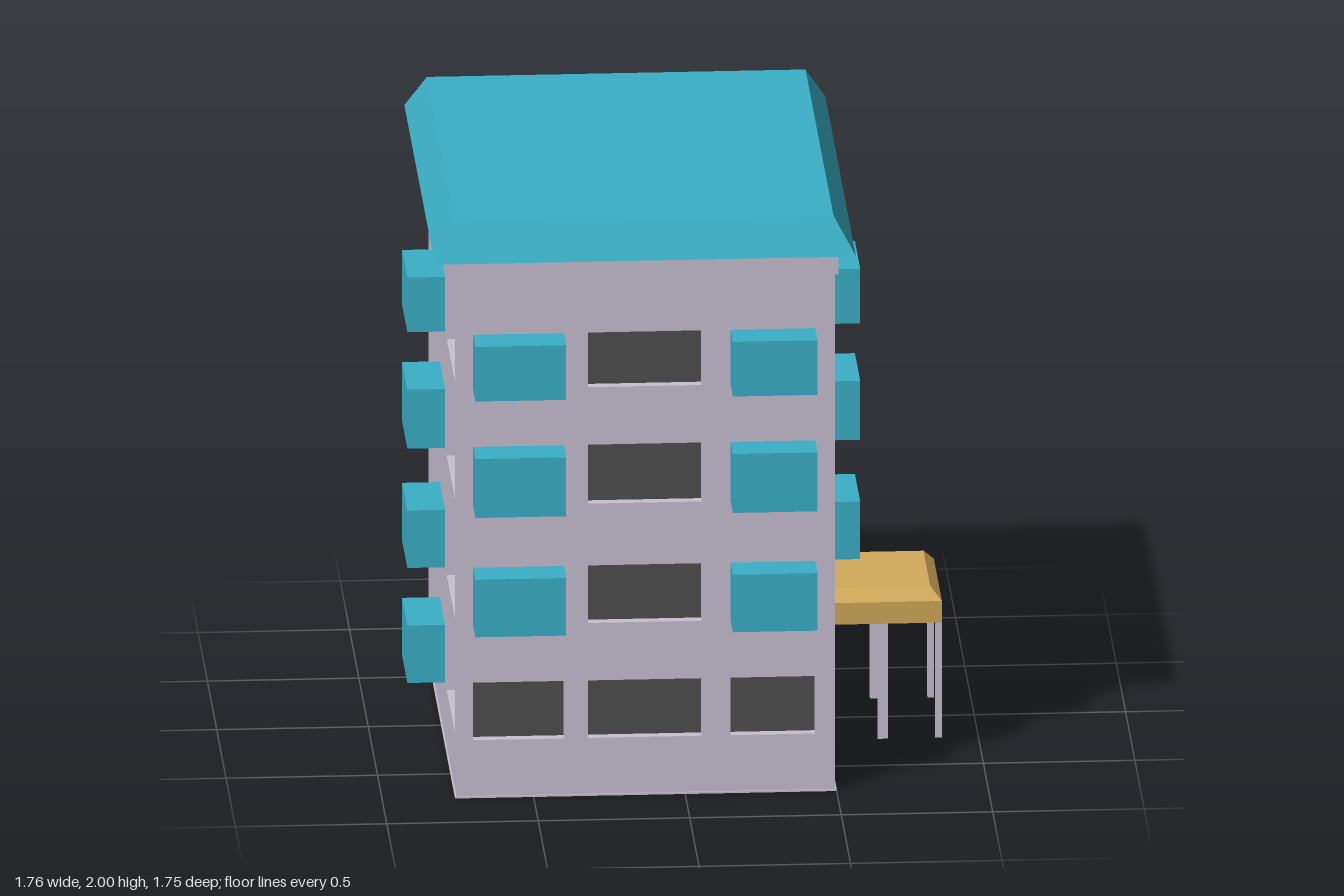
import * as THREE from 'three';

const mat = (color) => new THREE.MeshStandardMaterial({ color, flatShading: true });
const wallMat = mat(0xc9c0d2), teal = mat(0x3ab0c6), wood = mat(0xd2aa5a), dark = mat(0x4e4e4e);

// Building footprint and wall thickness
const X0 = -0.755, X1 = 0.495, Z0 = -0.75, Z1 = 0.75, T = 0.04, WALL_TOP = 1.8;
const FLOORS = [[0.2, 0.4], [0.6, 0.8], [1.015, 1.22], [1.42, 1.61]];
const BAYS_X = [[-0.7, -0.4], [-0.32, 0.055], [0.15, 0.43]];
const BAYS_Z = [[-0.675, -0.21], [0.23, 0.68]];
const BALCONY_Z = [-0.135, 0.15];
const DOOR = [-0.135, 0.155, 0.005, 0.4];

// Box given by its limits; inset narrows the top to make a hipped shape
function block(name, material, x0, x1, y0, y1, z0, z1, inset = 0) {
  const geo = new THREE.BoxGeometry(x1 - x0, y1 - y0, z1 - z0);
  const p = geo.attributes.position;
  if (inset) {
    for (let i = 0; i < p.count; i++) {
      if (p.getY(i) > 0) {
        p.setX(i, p.getX(i) - Math.sign(p.getX(i)) * inset);
        p.setZ(i, p.getZ(i) - Math.sign(p.getZ(i)) * inset);
      }
    }
    geo.computeVertexNormals();
  }
  const mesh = new THREE.Mesh(geo, material);
  mesh.position.set((x0 + x1) / 2, (y0 + y1) / 2, (z0 + z1) / 2);
  mesh.name = name;
  return mesh;
}

function rectPath(path, a, b, c, d) {
  path.moveTo(a, c);
  path.lineTo(b, c);
  path.lineTo(b, d);
  path.lineTo(a, d);
  path.closePath();
  return path;
}

// Wall slab with openings; sign maps the world axis onto the wall's own axis
function wall(name, range, sign, windows, doors, x, z, turn) {
  const group = new THREE.Group();
  const span = ([a, b]) => (sign > 0 ? [a, b] : [-b, -a]);
  const shape = rectPath(new THREE.Shape(), ...span(range), 0, WALL_TOP);
  for (const [a, b, c, d] of [...windows, ...doors]) {
    shape.holes.push(rectPath(new THREE.Path(), ...span([a, b]), c, d));
  }
  const slab = new THREE.Mesh(new THREE.ExtrudeGeometry(shape, { depth: T, bevelEnabled: false }), wallMat);
  slab.name = name + 'Slab';
  group.add(slab);
  for (const [a, b, c, d] of windows) {
    group.add(block('windowPane', dark, ...span([a, b]), c, d, 0, 0.006));
  }
  group.name = name;
  group.position.set(x, 0, z);
  group.rotation.y = turn;
  return group;
}

export function createModel() {
  const model = new THREE.Group();

  // Solid core behind the walls, and a thin base
  model.add(block('core', wallMat, X0 + T, X1 - T, 0.002, WALL_TOP, Z0 + T, Z1 - T));
  model.add(block('base', wallMat, X0 - 0.005, X1 + 0.005, 0, 0.006, Z0 - 0.005, Z1 + 0.005));

  // Windows: three across the ground floor, only the middle bay above
  const longWindows = FLOORS.flatMap((f, i) => (i ? [BAYS_X[1]] : BAYS_X).map((b) => [...b, ...f]));
  const sideWindows = FLOORS.flatMap((f) => BAYS_Z.map((b) => [...b, ...f]));
  const sideRange = [Z0 + T, Z1 - T];
  model.add(wall('frontWall', [X0, X1], 1, longWindows, [], 0, Z1 - T, 0));
  model.add(wall('backWall', [X0, X1], -1, longWindows, [], 0, Z0 + T, Math.PI));
  model.add(wall('rightWall', sideRange, -1, sideWindows, [DOOR], X1 - T, 0, Math.PI / 2));
  model.add(wall('leftWall', sideRange, 1, sideWindows, [], X0 + T, 0, -Math.PI / 2));

  // Door lintel in the recess
  model.add(block('doorLintel', wallMat, X1 - T, X1 - 0.01, 0.295, 0.4, DOOR[0], DOOR[1]));

  // Box balconies
  FLOORS.forEach(([y0, y1], i) => {
    model.add(block('leftBalcony', teal, -0.88, X0, y0, y1, ...BALCONY_Z));
    if (i === 0) return;
    model.add(block('rightBalcony', teal, X1, 0.615, y0, y1, ...BALCONY_Z));
    for (const k of [0, 2]) {
      model.add(block('frontBalcony', teal, ...BAYS_X[k], y0, y1, Z1, 0.875));
      model.add(block('backBalcony', teal, ...BAYS_X[k], y0, y1, -0.875, Z0));
    }
  });

  // Cornice and hipped roof
  model.add(block('cornice', wallMat, X0 - 0.01, X1 + 0.01, WALL_TOP, 1.88, Z0 - 0.015, Z1 + 0.015));
  model.add(block('roof', teal, -0.83, 0.56, 1.88, 2, -0.825, 0.82, 0.07));

  // Entrance canopy on posts
  const porch = new THREE.Group();
  porch.name = 'porch';
  porch.add(block('canopyEdge', wood, X1, 0.88, 0.4, 0.475, -0.21, 0.228));
  porch.add(block('canopyTop', wood, X1, 0.88, 0.475, 0.515, -0.21, 0.228, 0.036));
  for (const [x0, x1] of [[X1, 0.508], [0.668, 0.702], [0.858, 0.88]]) {
    for (const [z0, z1] of [[-0.21, -0.187], [0.205, 0.228]]) {
      porch.add(block('post', wallMat, x0, x1, 0, 0.4, z0, z1));
    }
  }
  model.add(porch);
  return model;
}
